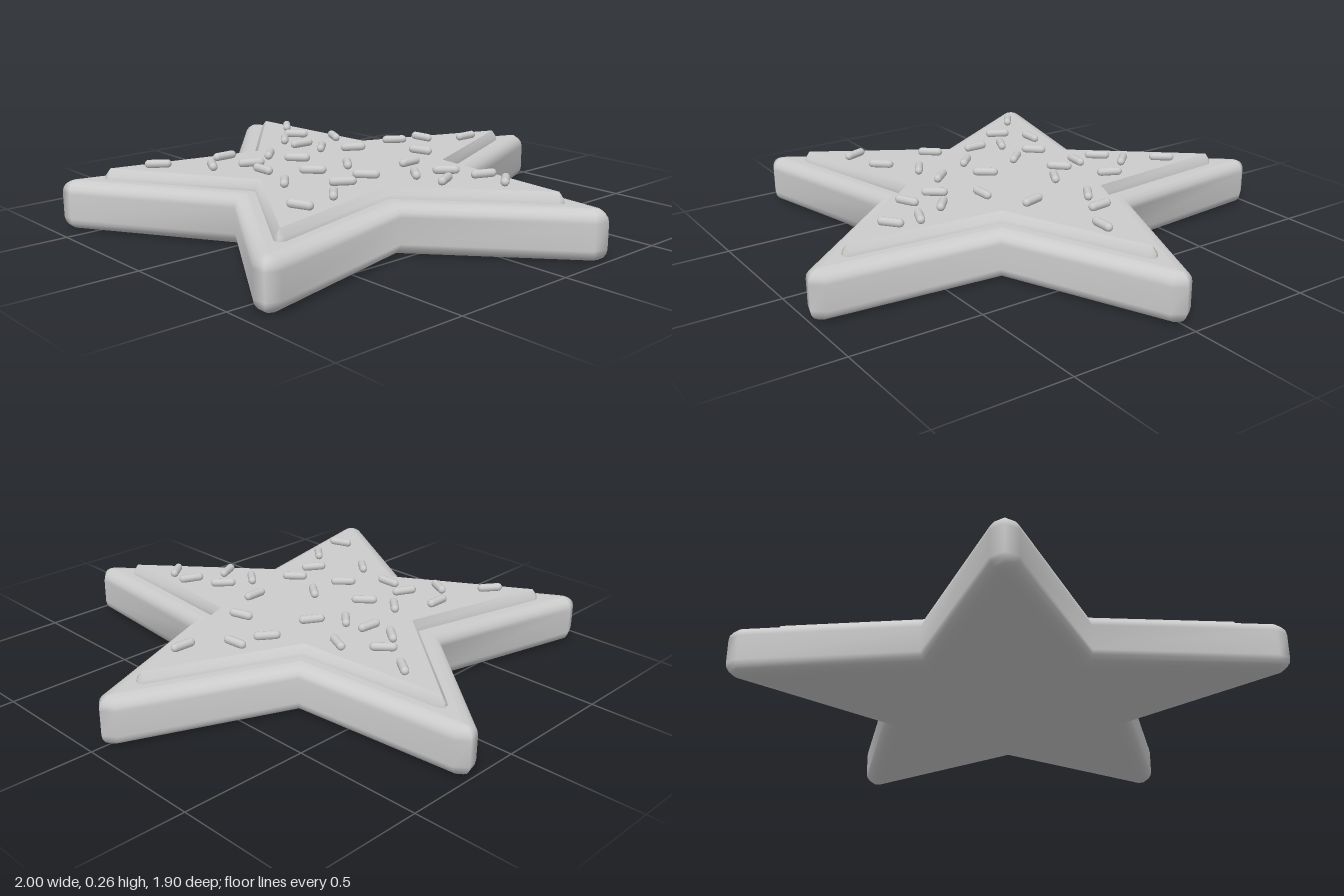
import * as THREE from 'three';

const CENTER_Z = 0.095;

// Five-pointed star outline grown outward by d, with rounded tips.
function starLoop(R, r, d) {
  const step = Math.PI / 5;
  const normal = Math.atan2(R - r * Math.cos(step), r * Math.sin(step)); // edge normal, relative to the tip direction
  const valley = r + d / Math.cos(normal - step);
  const points = [];
  for (let i = 0; i < 5; i++) {
    const a = Math.PI / 2 + i * 2 * step;
    for (const turn of [-normal, 0, normal]) {
      points.push([R * Math.cos(a) + d * Math.cos(a + turn), R * Math.sin(a) + d * Math.sin(a + turn)]);
    }
    points.push([valley * Math.cos(a + step), valley * Math.sin(a + step)]);
  }
  return points;
}

// Star slab lofted through [offset, height] levels, bottom to top, with flat caps.
function starSlab(R, r, levels) {
  const positions = [], index = [];
  const addLoop = ([d, y]) => {
    const start = positions.length / 3;
    for (const [x, up] of starLoop(R, r, d)) positions.push(x, y, CENTER_Z - up);
    return start;
  };
  const n = 20;
  const starts = levels.map(addLoop);
  for (let k = 0; k < starts.length - 1; k++) {
    for (let i = 0; i < n; i++) {
      const j = (i + 1) % n;
      const a = starts[k] + i, b = starts[k] + j, c = starts[k + 1] + i, e = starts[k + 1] + j;
      index.push(a, b, e, a, e, c);
    }
  }
  for (const top of [false, true]) {
    const level = top ? levels[levels.length - 1] : levels[0];
    const s = addLoop(level);
    const center = positions.length / 3;
    positions.push(0, level[1], CENTER_Z);
    for (let i = 0; i < n; i++) {
      const a = s + i, b = s + (i + 1) % n;
      if (top) index.push(center, a, b);
      else index.push(center, b, a);
    }
  }
  const geometry = new THREE.BufferGeometry();
  geometry.setAttribute('position', new THREE.Float32BufferAttribute(positions, 3));
  geometry.setIndex(index);
  geometry.computeVertexNormals();
  return geometry;
}

// Sprinkles: x and z in hundredths, direction in degrees.
const SPRINKLES = [
  [4, -56, 88], [-7, -41, 5], [-11, -29, 55], [10, -23, 15], [-62, -13, -38], [-33, -15, -25],
  [-47, -6, 42], [-42, 4, -40], [-31, 4, 85], [-21, 2, -45], [-12, -7, 60], [21, -6, -88],
  [39, -7, 50], [52, -13, 68], [63, -12, -52], [35, 5, -38], [48, 3, -65], [7, 13, -38],
  [24, 19, 42], [-13, 21, 42], [-25, 25, -45], [6, 29, 45], [26, 32, 58], [-34, 40, 90],
  [-18, 39, 65], [-7, 42, 0], [12, 47, -40], [36, 45, -42], [-25, 52, -28], [39, 62, 20],
  [-40, 66, 55],
];

export function createModel() {
  const group = new THREE.Group();
  const material = new THREE.MeshStandardMaterial({ color: 0xcccccc });
  const add = (geometry, name, parent = group) => {
    const mesh = new THREE.Mesh(geometry, material);
    mesh.name = name;
    parent.add(mesh);
    return mesh;
  };

  // Biscuit base with rounded top and bottom edges
  const height = 0.185, bevel = 0.045, steps = 4;
  const lower = [], upper = [];
  for (let i = 0; i <= steps; i++) {
    const t = (i / steps) * Math.PI / 2;
    const d = 0.05 * Math.sin(t), y = bevel * (1 - Math.cos(t));
    lower.push([d, y]);
    upper.unshift([d, height - y]);
  }
  add(starSlab(1, 0.45, [...lower, ...upper]), 'cookieBase');

  // Icing layer with sloping sides
  add(starSlab(0.87, 0.39, [[0.022, height - 0.005], [0.018, height + 0.015], [0, 0.225]]), 'icing');

  // Sprinkles lying on the icing
  const sprinkles = new THREE.Group();
  sprinkles.name = 'sprinkles';
  group.add(sprinkles);
  const capsule = new THREE.CapsuleGeometry(0.016, 0.068, 4, 10).rotateZ(Math.PI / 2);
  for (const [x, z, angle] of SPRINKLES) {
    const sprinkle = add(capsule, 'sprinkle', sprinkles);
    sprinkle.position.set(x / 100, 0.24, z / 100);
    sprinkle.rotation.y = THREE.MathUtils.degToRad(angle);
  }
  return group;
}
